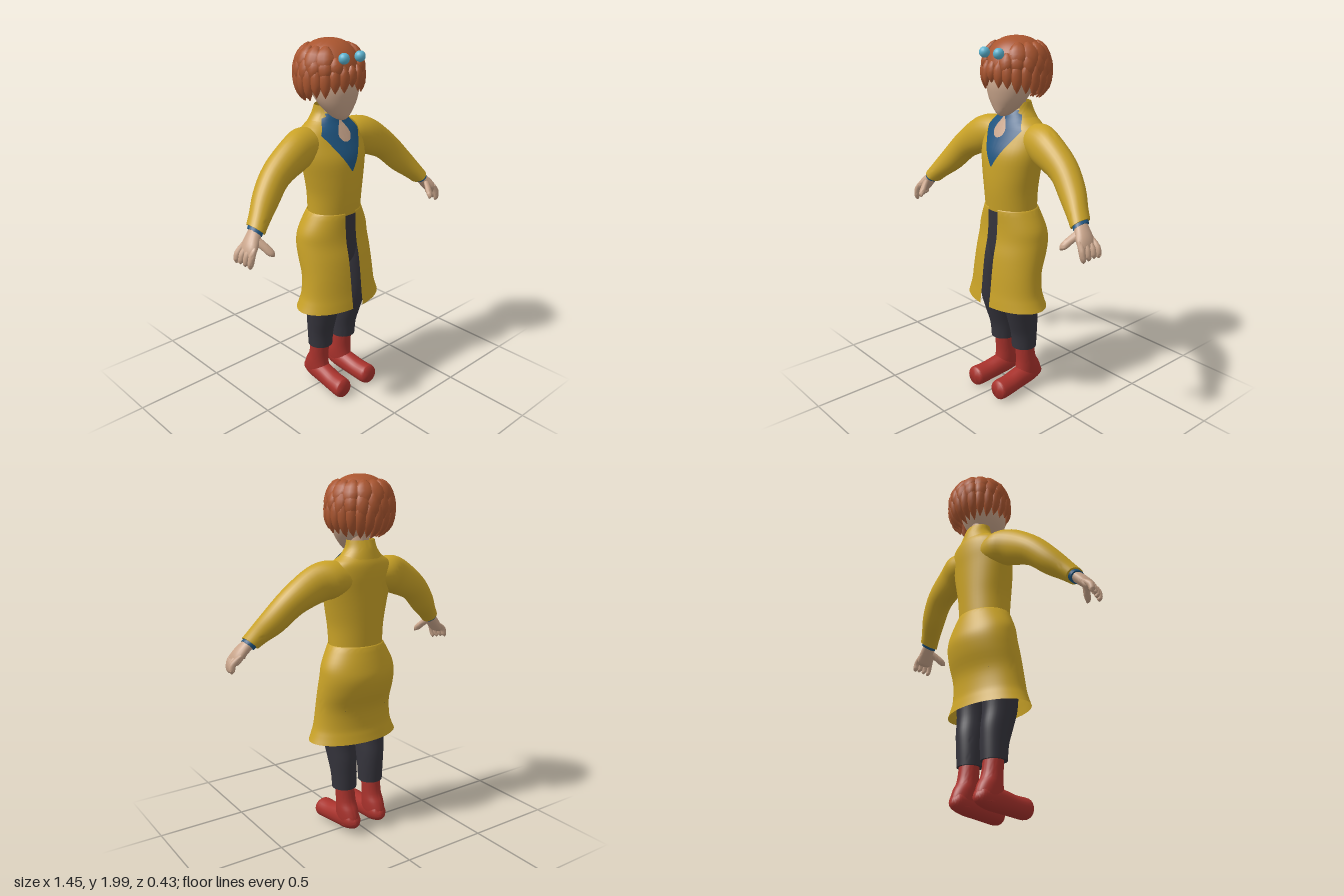
import * as THREE from 'three';
import { toCreasedNormals } from 'three/addons/utils/BufferGeometryUtils.js';

const mat = (name, color, side = THREE.FrontSide) => {
  const m = new THREE.MeshStandardMaterial({ color, side });
  m.name = name;
  return m;
};

// Uniform Catmull-Rom resampling of rows of numbers
function smooth(rows, k = 4) {
  const out = [], at = i => rows[Math.min(rows.length - 1, Math.max(0, i))];
  for (let i = 0; i < rows.length - 1; i++) {
    for (let s = 0; s < k; s++) {
      const t = s / k;
      out.push(rows[i].map((b, j) => {
        const a = at(i - 1)[j], c = at(i + 1)[j], d = at(i + 2)[j];
        return b + 0.5 * t * (c - a + t * (2 * a - 5 * b + 4 * c - d + t * (3 * (b - c) + d - a)));
      }));
    }
  }
  out.push(rows[rows.length - 1]);
  return out;
}

// Skin a list of rings; closed rings get flat end caps
function skin(rings, closed = true) {
  const pos = [], idx = [], n = rings[0].length, last = (rings.length - 1) * n;
  rings.forEach(r => r.forEach(p => pos.push(p.x, p.y, p.z)));
  for (let i = 0; i < rings.length - 1; i++) {
    for (let j = 0; j < (closed ? n : n - 1); j++) {
      const a = i * n + j, b = i * n + (j + 1) % n;
      idx.push(a, b, b + n, a, b + n, a + n);
    }
  }
  if (closed) {
    for (const [ring, base, flip] of [[rings[0], 0, true], [rings[rings.length - 1], last, false]]) {
      const c = ring.reduce((s, p) => s.add(p), new THREE.Vector3()).divideScalar(n);
      const ci = pos.push(c.x, c.y, c.z) / 3 - 1;
      for (let j = 0; j < n; j++) {
        const a = base + j, b = base + (j + 1) % n;
        idx.push(ci, flip ? b : a, flip ? a : b);
      }
    }
  }
  const g = new THREE.BufferGeometry();
  g.setAttribute('position', new THREE.Float32BufferAttribute(pos, 3));
  g.setIndex(idx);
  return toCreasedNormals(g, 1.0);
}

// Upright loft: rows of [y, halfWidth, zFront, zBack, centreX]; gap opens it at the front
function loft(rows, gap = 0, seg = 40) {
  return skin(rows.map(([y, rx, zf, zb, cx = 0]) => {
    const a0 = gap ? Math.asin(gap / rx) : 0;
    return Array.from({ length: gap ? seg + 1 : seg }, (_, j) => {
      const t = a0 + (j / seg) * (2 * Math.PI - 2 * a0);
      return new THREE.Vector3(cx + rx * Math.sin(t), y, (zf + zb) / 2 + (zf - zb) / 2 * Math.cos(t));
    });
  }), !gap);
}

// Sweep: rows of [x, y, z, thickness, width], width along the side axis
function sweep(rows, side, seg = 16) {
  const c = rows.map(r => new THREE.Vector3(r[0], r[1], r[2]));
  return skin(rows.map((r, i) => {
    const T = c[Math.min(i + 1, c.length - 1)].clone().sub(c[Math.max(i - 1, 0)]);
    const N = side.clone().cross(T).normalize();
    return Array.from({ length: seg }, (_, j) => {
      const a = j / seg * 2 * Math.PI;
      return c[i].clone().addScaledVector(N, r[3] * Math.cos(a)).addScaledVector(side, r[4] * Math.sin(a));
    });
  }));
}

export function createModel() {
  const model = new THREE.Group();
  const coat = mat('coat yellow', 0xc9a227, THREE.DoubleSide), flesh = mat('skin', 0xc9a58b);
  const hair = mat('hair copper', 0xa9552f, THREE.DoubleSide), blue = mat('shirt blue', 0x1f5580, THREE.DoubleSide);
  const dark = mat('trouser grey', 0x35343c), red = mat('boot red', 0xa8322c), glass = mat('lens blue', 0x5cb3d0);
  const X = new THREE.Vector3(1, 0, 0), Z = new THREE.Vector3(0, 0, 1);
  const add = (name, geo, material) => {
    const m = new THREE.Mesh(geo, material);
    m.name = name;
    model.add(m);
    return m;
  };

  // Coat body, collar and open skirt
  const torso = smooth([[1.09, .155, .135, -.12], [1.2, .16, .145, -.125], [1.3, .178, .145, -.13],
    [1.4, .197, .135, -.135], [1.48, .2, .1, -.14], [1.54, .18, .07, -.137], [1.58, .125, .048, -.125],
    [1.61, .09, .035, -.115], [1.63, .08, .02, -.105]]);
  add('coatBody', loft(torso), coat);
  add('collar', loft(smooth([[1.57, .13, .052, -.13], [1.62, .09, .035, -.118], [1.665, .08, .02, -.1]]), .065), coat);
  add('coatSkirt', loft(smooth([[1.105, .157, .137, -.122], [1.09, .168, .14, -.13], [1, .213, .142, -.155],
    [.93, .224, .15, -.166], [.85, .228, .168, -.15], [.75, .23, .182, -.113], [.65, .24, .193, -.108],
    [.6, .255, .2, -.116], [.56, .272, .205, -.125]].reverse()), .037, 56), coat);

  // Shirt panel and bare throat: patches that follow the chest surface
  const chestZ = (x, y) => {
    const i = Math.max(1, torso.findIndex(r => r[0] >= y)), a = torso[i - 1], b = torso[i];
    const [, rx, zf, zb] = a.map((v, j) => v + (b[j] - v) * (y - a[0]) / (b[0] - a[0]));
    return (zf + zb) / 2 + (zf - zb) / 2 * Math.sqrt(Math.max(0, 1 - (x / rx) ** 2));
  };
  const patch = (rows, lift) => skin(rows.map(([y, w]) => Array.from({ length: 21 }, (_, j) => {
    const x = w * (j / 10 - 1);
    return new THREE.Vector3(x, y, chestZ(x, y) + lift);
  })), false);
  const straight = [[1.337, .003], [1.53, .13], [1.57, .105], [1.625, .07]];
  const panel = straight.slice(0, -1).flatMap(([y, w], i) => Array.from({ length: 8 }, (_, s) =>
    [y + (straight[i + 1][0] - y) * s / 8, w + (straight[i + 1][1] - w) * s / 8]));
  add('shirtPanel', patch([...panel, straight[3]], .006), blue);
  add('throatOpening', patch(smooth([[1.487, .003], [1.495, .026], [1.52, .041], [1.55, .032], [1.58, .012], [1.6, .003]]), .011),
    flesh);

  // Head and neck
  add('neck', loft([[1.5, .055, .015, -.085], [1.72, .055, .035, -.075]]), flesh);
  add('head', loft(smooth([[1.595, .014, .08, .035], [1.61, .04, .1, 0], [1.65, .08, .115, -.04], [1.7, .113, .128, -.08],
    [1.76, .131, .135, -.12], [1.83, .135, .122, -.14], [1.9, .12, .09, -.13], [1.95, .07, .04, -.08]])), flesh);

  // Hair: a cap, then overlapping pointed locks laid over it
  const back = az => (1 - Math.cos(az)) / 2;
  const hairPoint = (az, th, s = 1) => {
    const sn = Math.sin(th) ** .85, k = th < Math.PI / 2 ? sn : 1 + (sn - 1) * back(az);
    return new THREE.Vector3(.166 * s * k * Math.sin(az), 1.823 + .17 * s * Math.cos(th), -.03 + .167 * s * k * Math.cos(az));
  };
  add('hairCap', skin(Array.from({ length: 17 }, (_, i) => Array.from({ length: 49 }, (_, j) => {
    const az = j / 48 * 2 * Math.PI;
    return hairPoint(az, .02 + (1 - i / 16) * (1.45 + .75 * back(az)), 1.02);
  })), false), hair);
  const tip = az => 1.88 + 1.0 * Math.sin(Math.min(Math.PI / 2, Math.acos(Math.cos(az)) / 2)) ** 1.1 * .65;
  const widths = [.35, .75, 1, 1, .85, .5, .03];
  const layers = [[14, .62, () => 1.5, .045, 0, .5], [18, 1.0, az => 1.55 + .35 * back(az), .036, .5, .35],
    [22, 1.25, tip, .029, 0, 0]];
  layers.forEach(([n, start, end, w, shift, skip], layer) => {
    for (let i = 0; i < n; i++) {
      const az = (i + shift) / n * 2 * Math.PI;
      if (Math.acos(Math.cos(az)) < skip) continue;
      const side = new THREE.Vector3(Math.cos(az), 0, -Math.sin(az));
      const stop = end(az) + (i % 2 ? .07 : 0);
      add('hairLock', sweep(widths.map((k, j) => {
        const p = hairPoint(az, start + (stop - start) * j / 6, 1.02 - layer * .005);
        return [p.x, p.y, p.z, .021 * Math.min(1, k + .1), w * k];
      }), side, 10), hair);
    }
  });

  // Hips
  add('hips', loft(smooth([[.75, .08, .07, -.07], [.82, .17, .115, -.11], [.95, .185, .12, -.13], [1.09, .14, .12, -.11]])), dark);

  for (const s of [1, -1]) {
    const flip = rows => rows.map(([x, ...r]) => [x * s, ...r]);

    // Goggle lens pushed up on the fringe
    add('lens', new THREE.SphereGeometry(.028, 20, 14), glass).position.set(.055 * s, 1.918, .137);

    // Sleeve and shirt cuff
    add('sleeve', sweep(smooth(flip([[.1, 1.465, -.035, .08, .085], [.18, 1.468, -.03, .1, .092], [.26, 1.445, -.01, .1, .083],
      [.39, 1.37, .003, .08, .076], [.49, 1.27, .035, .07, .07], [.56, 1.2, .072, .053, .06], [.595, 1.163, .09, .046, .058]])),
      Z, 28), coat);
    add('cuff', sweep(flip([[.57, 1.19, .08, .035, .045], [.607, 1.152, .096, .037, .047]]), Z, 24), blue);

    // Hand with four fingers and a thumb
    add('palm', sweep(smooth(flip([[.585, 1.175, .09, .028, .034], [.62, 1.14, .105, .03, .044], [.655, 1.1, .118, .028, .054],
      [.678, 1.065, .12, .018, .048], [.682, 1.055, .12, .004, .02]])), Z, 20), flesh);
    for (let f = 0; f < 4; f++) {
      const z = .16 - .028 * f, x = .007 * f;
      add('finger', sweep(smooth(flip([[.655, 1.105, z, .012, .013], [.677 + x, 1.07, z + .004, .017, .016],
        [.686 + x, 1.035, z + .004, .016, .015], [.687 + x, 1.015 + x, z, .012, .012], [.686 + x, 1.003 + x, z - .002, .002, .002]]), 3),
        Z, 10), flesh);
    }
    add('thumb', sweep(smooth(flip([[.63, 1.135, .125, .022, .02], [.605, 1.1, .165, .021, .021], [.587, 1.07, .192, .019, .018],
      [.574, 1.052, .203, .003, .003]])), Z, 12), flesh);

    // Trouser leg
    add('trouserLeg', loft(smooth([[.275, .069, .06, -.08, .09], [.36, .073, .068, -.083, .091], [.45, .079, .095, -.083, .095],
      [.55, .085, .122, -.072, .1], [.68, .09, .13, -.08, .103], [.8, .095, .125, -.1, .1], [.92, .08, .11, -.1, .1]])
      .map(r => [...r.slice(0, 4), r[4] * s])), dark);

    // Boot: shaft and foot
    add('bootShaft', loft(smooth([[.06, .048, .03, -.12, .09], [.1, .055, .045, -.128, .09], [.15, .057, .037, -.11, .09],
      [.2, .055, .034, -.082, .09], [.3, .055, .04, -.065, .09]]).map(r => [...r.slice(0, 4), r[4] * s])), red);
    add('bootFoot', sweep(smooth(flip([[.088, .1, -.13, .015, .012], [.089, .093, -.11, .045, .042], [.09, .09, -.05, .062, .054],
      [.093, .08, .03, .06, .056], [.098, .068, .11, .055, .057], [.102, .063, .185, .056, .058], [.103, .063, .204, .047, .05]])),
      X, 24), red);
  }
  return model;
}
